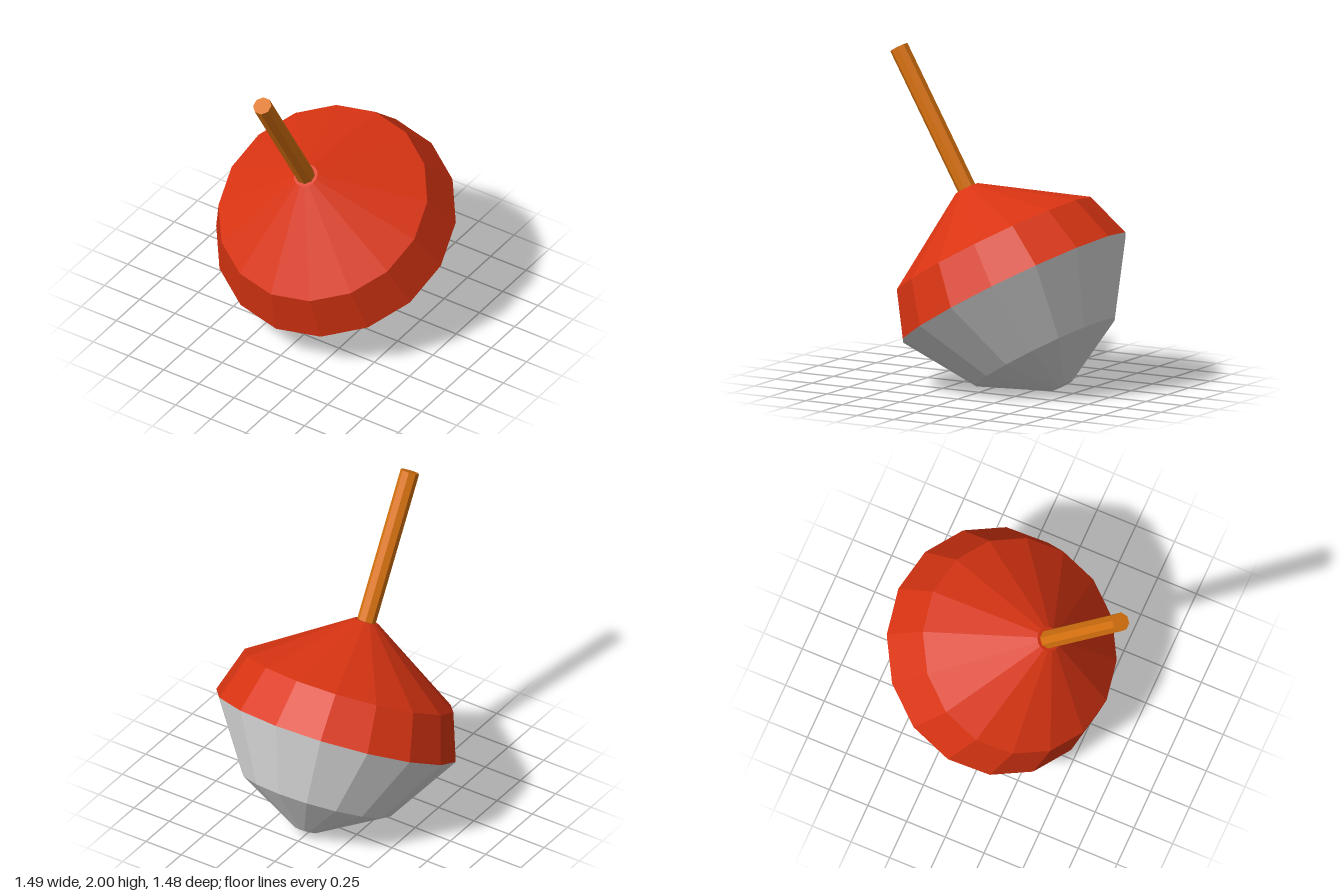
import * as THREE from 'three';

export function createModel() {
  const mat = (name, color) => {
    const m = new THREE.MeshStandardMaterial({ color, flatShading: true });
    m.name = name;
    return m;
  };
  const red = mat('red paint', 0xd93412);
  const grey = mat('light grey', 0xd8d8d8);
  const wood = mat('orange wood', 0xd9730f);

  const model = new THREE.Group();
  model.name = 'spinningTop';

  // Everything is turned around one axis that leans 30 degrees to the front
  const tilted = new THREE.Group();
  tilted.name = 'tiltedTop';
  tilted.position.set(0, 0.601, -0.095);
  tilted.rotation.x = Math.PI / 6;
  model.add(tilted);

  // Faceted body part from [radius, height] pairs, listed bottom to top
  const turned = (name, profile, material) => {
    const points = profile.map(([r, y]) => new THREE.Vector2(r, y));
    const mesh = new THREE.Mesh(new THREE.LatheGeometry(points, 16), material);
    mesh.name = name;
    tilted.add(mesh);
  };
  turned('lowerBody', [[0, -0.65], [0.07, -0.65], [0.463, -0.426], [0.744, 0]], grey);
  turned('upperBody', [[0.744, 0], [0.648, 0.28], [0.074, 0.652], [0, 0.652]], red);

  // Handle, eight-sided with a flat side to the front
  const handleGeometry = new THREE.CylinderGeometry(0.057, 0.057, 0.98, 8);
  handleGeometry.rotateY(Math.PI / 8);
  const handle = new THREE.Mesh(handleGeometry, wood);
  handle.name = 'handle';
  handle.position.y = 1.095;
  tilted.add(handle);

  return model;
}
